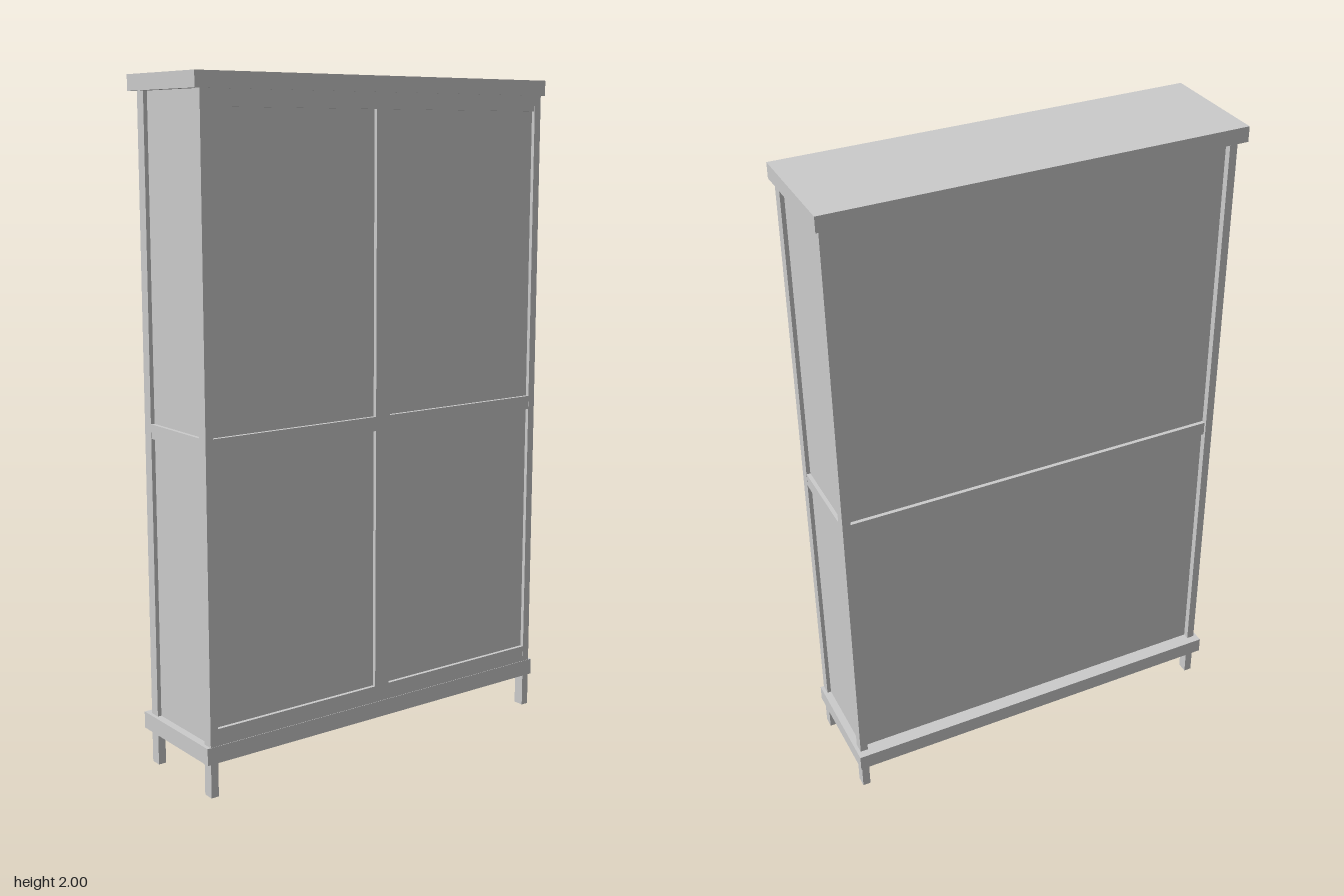
import * as THREE from 'three';

export function createModel() {
  const model = new THREE.Group();
  const cabinet = new THREE.Group();
  cabinet.name = 'cabinet';
  cabinet.rotation.y = -0.0117; // stands very slightly turned
  model.add(cabinet);

  const material = new THREE.MeshStandardMaterial({ color: 0xcccccc, flatShading: true });

  // Box given by its lower and upper limits on each axis
  function slab(name, [x0, x1], [y0, y1], [z0, z1]) {
    const mesh = new THREE.Mesh(new THREE.BoxGeometry(x1 - x0, y1 - y0, z1 - z0), material);
    mesh.position.set((x0 + x1) / 2, (y0 + y1) / 2, (z0 + z1) / 2);
    mesh.name = name;
    cabinet.add(mesh);
  }

  const front = 0.176, back = -0.152;
  const outer = 0.609, inner = 0.585;
  const baseTop = 0.15, capBottom = 1.955;
  const midRail = [0.985, 1.027];
  const frontRail = [front - 0.016, front - 0.0005];

  // Top and base boards
  slab('topBoard', [-0.625, 0.625], [capBottom, 2], [-0.178, 0.178]);
  slab('baseBoard', [-0.62, 0.62], [0.1, baseTop], [-0.177, 0.177]);

  for (const s of [-1, 1]) {
    const side = (a, b) => (s > 0 ? [a, b] : [-b, -a]);
    const label = s > 0 ? 'left' : 'right';
    // Corner posts running down into the feet
    slab(label + 'FrontPost', side(inner, outer), [0, capBottom], [front - 0.034, front]);
    slab(label + 'BackPost', side(inner, outer), [0, capBottom], [back, back + 0.034]);
    // Recessed side panel with its middle rail
    slab(label + 'SidePanel', side(0.586, 0.597), [baseTop, capBottom], [-0.13, 0.155]);
    slab(label + 'SideRail', side(0.586, 0.6085), midRail, [-0.125, 0.15]);
    // Door panels, above and below the middle rail
    slab(label + 'UpperDoor', side(0.02, 0.587), [midRail[1] - 0.01, 1.915], [0.15, 0.164]);
    slab(label + 'LowerDoor', side(0.02, 0.587), [0.19, midRail[0] + 0.01], [0.15, 0.164]);
  }

  // Front frame
  slab('frontTopRail', [-inner, inner], [1.908, capBottom], frontRail);
  slab('frontMiddleRail', [-inner, inner], midRail, frontRail);
  slab('frontBottomRail', [-inner, inner], [baseTop, 0.2], frontRail);
  slab('frontMullion', [-0.026, 0.026], [0.2, 1.908], [front - 0.016, front]);

  // Back panel and the shelf that shows behind it
  slab('backPanel', [-inner, inner], [baseTop, capBottom], [-0.132, -0.12]);
  slab('middleShelf', [-inner, inner], midRail, [-0.144, 0.15]);

  return model;
}
